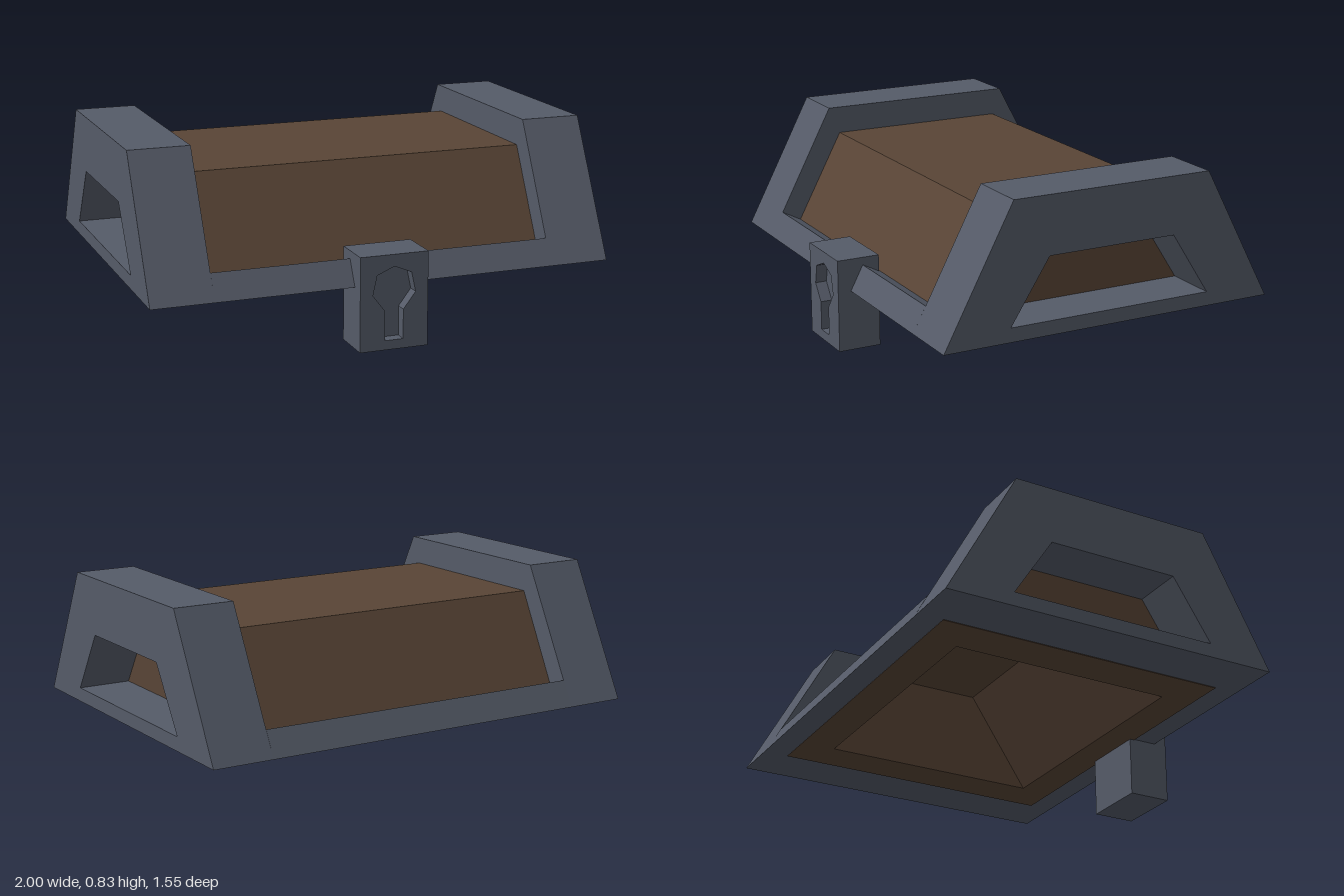
import * as THREE from 'three';

const metal = new THREE.MeshStandardMaterial({ color: 0x555b68, flatShading: true });
const wood = new THREE.MeshStandardMaterial({ color: 0x594536, flatShading: true });

const toPoints = (pts) => pts.map(([a, b]) => new THREE.Vector2(a, b));

// Extrudes an outline, with an optional hole, along +z.
function extrude(outline, depth, hole) {
  const shape = new THREE.Shape(toPoints(outline));
  if (hole) shape.holes.push(new THREE.Path(toPoints(hole)));
  return new THREE.ExtrudeGeometry(shape, { depth, bevelEnabled: false });
}

// Extrudes a side profile given as [z, y] from x0 to x1.
function sideProfile(outline, x0, x1, hole) {
  return extrude(outline, x1 - x0, hole).rotateY(-Math.PI / 2).translate(x1, 0, 0);
}

export function createModel() {
  const model = new THREE.Group();
  const add = (name, geometry, material) => {
    const mesh = new THREE.Mesh(geometry, material);
    mesh.name = name;
    model.add(mesh);
  };

  // Metal end frames, each with a trapezoid window
  const endOutline = [[0.72, 0.26], [0.42, 0.83], [-0.47, 0.83], [-0.775, 0.26]];
  const endWindow = [[0.43, 0.32], [0.26, 0.585], [-0.31, 0.585], [-0.48, 0.32]];
  add('leftEndFrame', sideProfile(endOutline, 0.737, 1, endWindow), metal);
  add('rightEndFrame', sideProfile(endOutline, -1, -0.737, endWindow), metal);

  // Metal rails joining the ends along the lower edge
  const rail = [[0.72, 0.26], [0.664, 0.367], [0.578, 0.322], [0.61, 0.26]];
  const mirrored = rail.map(([z, y]) => [-0.055 - z, y]).reverse();
  add('frontRail', sideProfile(rail, -0.737, 0.737), metal);
  add('backRail', sideProfile(mirrored, -0.737, 0.737), metal);

  // Hollow wooden lid, open underneath and closed by a thick block at each end
  const base = 0.257;
  const lid = [[0.612, base], [0.37, 0.71], [-0.43, 0.71], [-0.667, base]];
  const hollow = [[-0.515, base], [-0.24, 0.67], [0.19, 0.67], [0.465, base]];
  add('woodenLid', sideProfile([...lid, ...hollow], -0.59, 0.59), wood);
  add('leftLidEnd', sideProfile(lid, 0.59, 0.77), wood);
  add('rightLidEnd', sideProfile(lid, -0.77, -0.59), wood);

  // Lock block with a recessed keyhole
  const half = [[0.04, 0.04], [0.04, 0.165], [0.093, 0.235], [0.075, 0.318]];
  const keyhole = [...half, [0, 0.35], ...half.map(([x, y]) => [-x, y]).reverse()];
  const block = [[-0.148, 0], [0.148, 0], [0.148, 0.4], [-0.148, 0.4]];
  add('lockPlate', extrude(block, 0.05, keyhole).translate(0, 0, 0.728), metal);
  add('lockBody', extrude(block, 0.138).translate(0, 0, 0.59), metal);

  return model;
}
